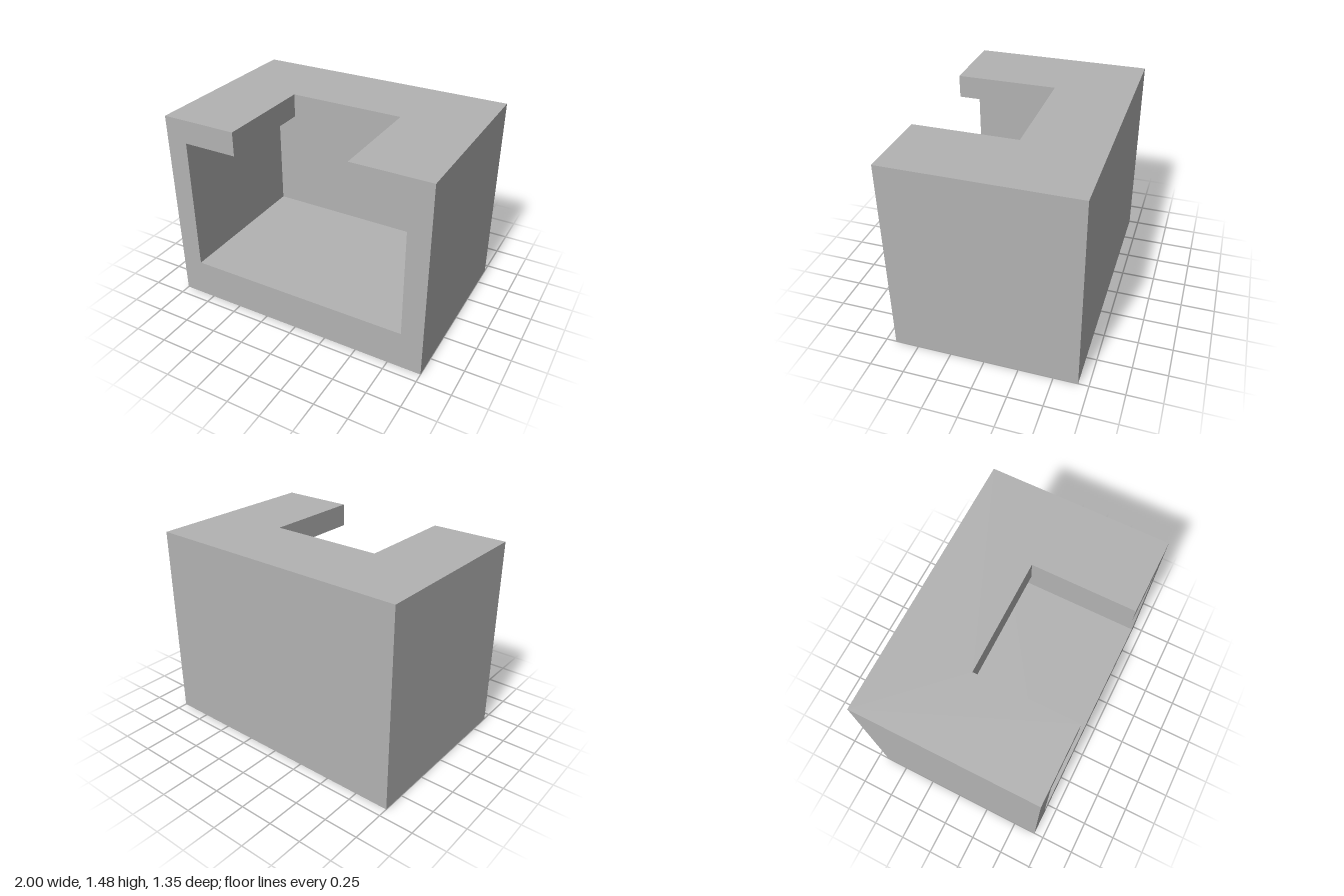
import * as THREE from 'three';

// Overall half width, height, half depth
const W = 1, H = 1.475, D = 0.675;
// Cavity: half width, floor, ceiling, back
const CW = 0.84, FLOOR = 0.29, CEIL = 1.3, BACK = -0.485;
// Slot through the roof: half width, back
const SW = 0.43, SLOT = -0.09;

const H90 = Math.PI / 2;
// Rotations that turn a flat panel towards each direction
const FACING = {
  front: [0, 0, 0], back: [0, Math.PI, 0],
  left: [0, H90, 0], right: [0, -H90, 0],
  up: [-H90, 0, 0], down: [H90, 0, 0],
};

export function createModel() {
  const model = new THREE.Group();
  model.name = 'openFrontedBox';
  const grey = new THREE.MeshStandardMaterial({ color: 0xb2b2b2 });
  grey.name = 'grey';

  // A one-sided flat panel from an outline in its own plane
  const panel = (name, points, facing, x, y, z) => {
    const shape = new THREE.Shape(points.map(([u, v]) => new THREE.Vector2(u, v)));
    const mesh = new THREE.Mesh(new THREE.ShapeGeometry(shape), grey);
    mesh.name = name;
    mesh.rotation.set(...FACING[facing]);
    mesh.position.set(x, y, z);
    model.add(mesh);
  };
  const rect = (u0, v0, u1, v1) => [[u0, v0], [u1, v0], [u1, v1], [u0, v1]];

  // Rectangle with the slot cut in from its front edge (v = -z)
  const slotted = (halfWidth, back) => [
    [-halfWidth, -D], [-SW, -D], [-SW, -SLOT], [SW, -SLOT], [SW, -D],
    [halfWidth, -D], [halfWidth, -back], [-halfWidth, -back],
  ];

  // Outer faces
  panel('frontRim', [
    [-W, 0], [W, 0], [W, H], [SW, H], [SW, CEIL], [CW, CEIL], [CW, FLOOR],
    [-CW, FLOOR], [-CW, CEIL], [-SW, CEIL], [-SW, H], [-W, H],
  ], 'front', 0, 0, D);
  panel('backFace', rect(-W, 0, W, H), 'back', 0, 0, -D);
  panel('leftFace', rect(-D, 0, D, H), 'left', W, 0, 0);
  panel('rightFace', rect(-D, 0, D, H), 'right', -W, 0, 0);
  panel('roofTop', slotted(W, -D), 'up', 0, H, 0);
  panel('underside', rect(-W, -D, W, D), 'down', 0, 0, 0);

  // Cavity faces
  panel('cavityFloor', rect(-CW, -D, CW, -BACK), 'up', 0, FLOOR, 0);
  panel('cavityCeiling', slotted(CW, BACK).map(([u, v]) => [u, -v]), 'down', 0, CEIL, 0);
  panel('cavityBack', rect(-CW, FLOOR, CW, CEIL), 'front', 0, 0, BACK);
  panel('cavityLeftWall', rect(BACK, FLOOR, D, CEIL), 'right', CW, 0, 0);
  panel('cavityRightWall', rect(-D, FLOOR, -BACK, CEIL), 'left', -CW, 0, 0);

  // Slot edges through the roof
  panel('slotBack', rect(-SW, CEIL, SW, H), 'front', 0, 0, SLOT);
  panel('slotLeftEdge', rect(SLOT, CEIL, D, H), 'right', SW, 0, 0);
  panel('slotRightEdge', rect(-D, CEIL, -SLOT, H), 'left', -SW, 0, 0);

  return model;
}
